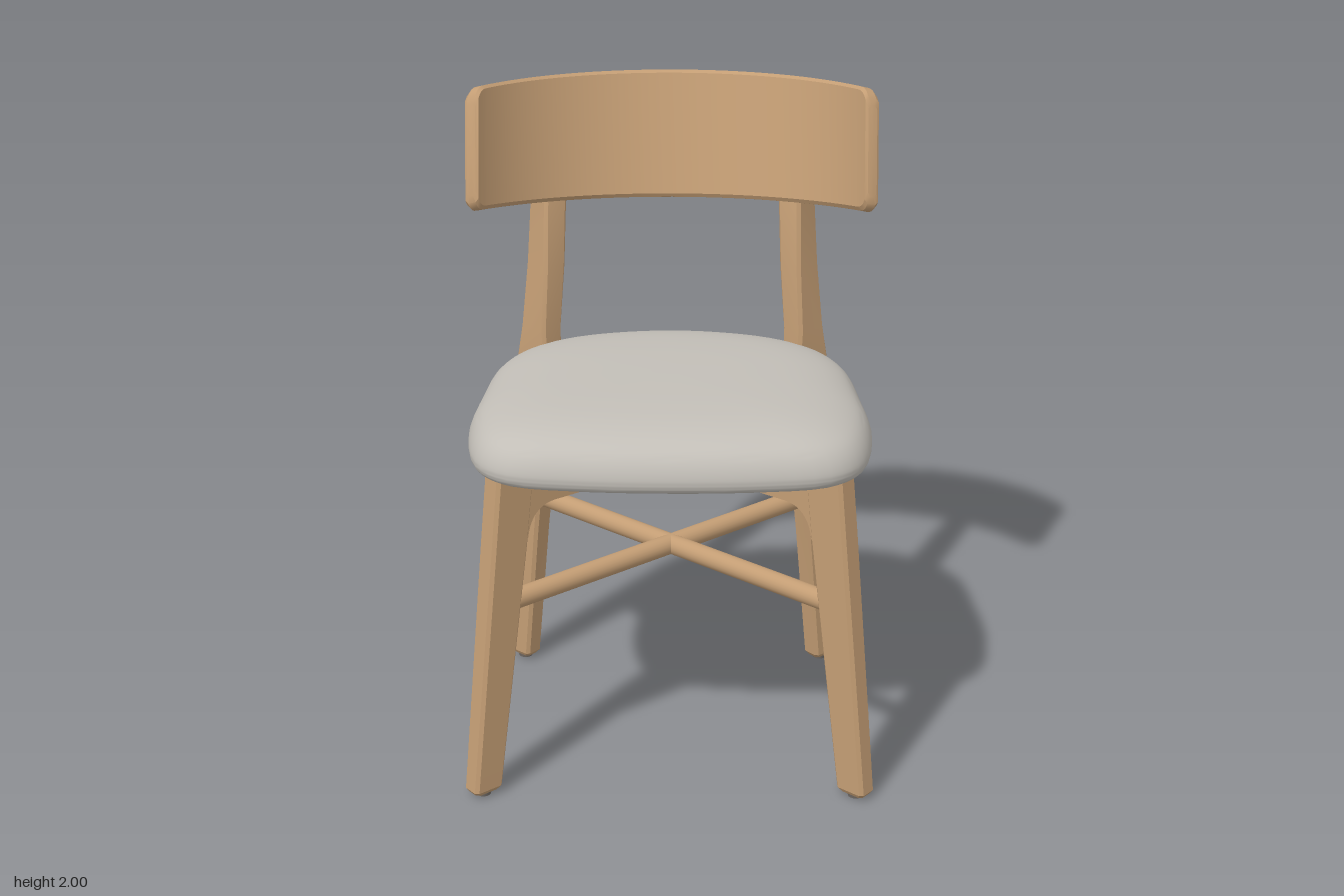
import * as THREE from 'three';
import { mergeVertices, toCreasedNormals } from 'three/addons/utils/BufferGeometryUtils.js';

const V = (x, y, z) => new THREE.Vector3(x, y, z);
const DIAG = 0.705;      // angle of the crossed frames, seen from above
const CROSS_Z = 0.02;    // where the frames cross

const wood = new THREE.MeshStandardMaterial({ color: 0xc39d74 });
wood.name = 'wood';
const fabric = new THREE.MeshStandardMaterial({ color: 0xc2beb7 });
fabric.name = 'greyFabric';
const rubber = new THREE.MeshStandardMaterial({ color: 0x77706a });
rubber.name = 'rubber';

// Skin a list of equal-length rings, close both ends and face it outwards
function loft(rings, crease) {
  const n = rings[0].length;
  const points = rings.flat();
  const faces = [];
  for (let r = 0; r < rings.length - 1; r++) {
    for (let i = 0; i < n; i++) {
      const a = r * n + i, b = r * n + (i + 1) % n;
      faces.push([a, b, b + n], [a, b + n, a + n]);
    }
  }
  [0, rings.length - 1].forEach((r, end) => {
    const mid = V(0, 0, 0);
    rings[r].forEach((p) => mid.addScaledVector(p, 1 / n));
    const c = points.push(mid) - 1;
    for (let i = 0; i < n; i++) {
      const a = r * n + i, b = r * n + (i + 1) % n;
      faces.push(end ? [a, b, c] : [b, a, c]);
    }
  });
  let volume = 0;
  for (const [a, b, c] of faces) volume += points[a].dot(points[b].clone().cross(points[c]));
  const index = faces.flatMap(([a, b, c]) => (volume < 0 ? [a, c, b] : [a, b, c]));
  const geo = new THREE.BufferGeometry().setFromPoints(points);
  geo.setIndex(index);
  return toCreasedNormals(mergeVertices(geo), crease);
}

// Rectangle with cut corners, as [x, y] pairs
function cutRect(w, h, c) {
  const a = w / 2, b = h / 2;
  return [[a, -b + c], [a, b - c], [a - c, b], [-a + c, b],
    [-a, b - c], [-a, -b + c], [-a + c, -b], [a - c, -b]];
}

// Leg section: centre, depth along the angle, thickness across it
function legRing(sx, { x, y, z, angle, depth, thick, cut = 0.01 }) {
  const c = Math.cos(angle), s = Math.sin(angle);
  return cutRect(depth, thick, cut).map(([u, v]) => V(sx * (x + u * c - v * s), y, z + u * s + v * c));
}

// Leg section lying in a diagonal frame, between inner and outer distances
function frameSection(y, inner, outer, thick, front) {
  const u = (inner + outer) / 2;
  return {
    x: u * Math.cos(DIAG), y, z: CROSS_Z + front * u * Math.sin(DIAG),
    angle: front * DIAG, depth: outer - inner, thick,
  };
}

function addMesh(parent, name, geo, mat) {
  const mesh = new THREE.Mesh(geo, mat);
  mesh.name = name;
  parent.add(mesh);
  return mesh;
}

function seatGeometry() {
  // Half outline from front to back, mirrored
  const half = [[0, 0.59], [0.28, 0.577], [0.47, 0.54], [0.555, 0.455], [0.595, 0.25], [0.58, 0.03],
    [0.55, -0.18], [0.48, -0.31], [0.36, -0.4], [0.2, -0.452], [0, -0.475]];
  const other = half.slice(1, -1).reverse().map(([x, z]) => [-x, z]);
  const curve = new THREE.CatmullRomCurve3([...half, ...other].map(([x, z]) => V(x, 0, z)), true);
  const outline = curve.getPoints(72).slice(0, -1);
  // Cushion profile: scale of the outline, height
  const profile = new THREE.CatmullRomCurve3([[0.1, 1.02], [0.9, 1.02], [0.96, 1.023], [0.99, 1.037], [1, 1.06],
    [0.985, 1.095], [0.945, 1.13], [0.87, 1.157], [0.72, 1.18], [0.45, 1.193], [0.1, 1.197]]
    .map(([s, y]) => V(s, y, 0)), false, 'centripetal');
  const rings = profile.getPoints(40).map((p) =>
    outline.map((o) => V(o.x * p.x, p.y, 0.05 + (o.z - 0.05) * p.x)));
  return loft(rings, 1.1);
}

function backrestGeometry() {
  const maxAngle = 1.13, radius = 0.661, corner = 0.045;
  // Columns are denser near the rounded ends
  const positions = [];
  for (let i = 0; i <= 32; i++) positions.push(-0.93 + 1.86 * i / 32);
  for (const e of [0.95, 0.965, 0.98, 0.993, 1]) {
    positions.push(e);
    positions.unshift(-e);
  }
  const rings = positions.map((s) => {
    const a = s * maxAngle, q = s * s;
    const d = Math.min(corner, (1 - Math.abs(s)) * maxAngle * radius);
    const inset = corner - Math.sqrt(corner ** 2 - (corner - d) ** 2);
    const top = 1.963 + 0.037 * q - inset, bottom = 1.587 + 0.065 * q + inset;
    const thick = Math.abs(s) === 1 ? 0.03 : 0.046;
    return cutRect(thick, top - bottom, 0.01).map(([u, v]) => {
      const y = (top + bottom) / 2 + v + u * -0.28;
      const lean = (1.963 + 0.037 * q - y) * 0.32;
      return V(Math.sin(a) * (radius + u), y, 0.089 + lean - Math.cos(a) * (radius + u));
    });
  });
  return loft(rings, 0.5);
}

// Apron beam with fillets running into the legs
function apronGeometry() {
  const s = new THREE.Shape();
  s.moveTo(-0.57, 1.025);
  s.lineTo(0.62, 1.025);
  s.lineTo(0.62, 0.81);
  s.lineTo(0.57, 0.81);
  s.quadraticCurveTo(0.556, 0.905, 0.47, 0.905);
  s.lineTo(0, 0.892);
  s.lineTo(-0.4, 0.905);
  s.quadraticCurveTo(-0.49, 0.905, -0.507, 0.81);
  s.lineTo(-0.57, 0.81);
  const geo = new THREE.ExtrudeGeometry(s, { depth: 0.062, bevelEnabled: false, curveSegments: 10 });
  geo.translate(0, 0, -0.031);
  return toCreasedNormals(geo, 0.5);
}

export function createModel() {
  const model = new THREE.Group();
  model.name = 'chair';

  for (const sx of [1, -1]) {
    const side = sx > 0 ? 'left' : 'right';

    // Front leg
    const front = [
      { ...frameSection(0.012, 0.697, 0.776, 0.05, 1) },
      frameSection(0.025, 0.685, 0.785, 0.066, 1),
      frameSection(0.82, 0.567, 0.697, 0.074, 1),
      frameSection(1.035, 0.54, 0.673, 0.074, 1),
    ];
    addMesh(model, side + 'FrontLeg', loft(front.map((f) => legRing(sx, f)), 0.5), wood);

    // Back leg, bending backwards above the seat to hold the backrest
    const back = [
      frameSection(0.012, 0.614, 0.679, 0.05, -1),
      frameSection(0.025, 0.604, 0.688, 0.066, -1),
      frameSection(0.5, 0.55, 0.664, 0.07, -1),
      frameSection(0.85, 0.502, 0.642, 0.074, -1),
      frameSection(1.03, 0.485, 0.632, 0.076, -1),
      { x: 0.412, y: 1.2, z: -0.34, angle: -0.8, depth: 0.11, thick: 0.08 },
      { x: 0.395, y: 1.4, z: -0.362, angle: -0.9, depth: 0.105, thick: 0.08 },
      { x: 0.386, y: 1.6, z: -0.394, angle: -0.98, depth: 0.1, thick: 0.08 },
      { x: 0.388, y: 1.75, z: -0.426, angle: -1.04, depth: 0.088, thick: 0.08 },
      { x: 0.391, y: 1.865, z: -0.456, angle: -1.05, depth: 0.075, thick: 0.08 },
    ];
    addMesh(model, side + 'BackLeg', loft(back.map((f) => legRing(sx, f)), 0.5), wood);

    // Foot glides
    for (const [name, f] of [['FrontGlide', front[0]], ['BackGlide', back[0]]]) {
      const glide = addMesh(model, side + name, new THREE.CylinderGeometry(0.026, 0.022, 0.014, 16), rubber);
      glide.position.set(sx * f.x, 0.007, f.z);
    }

    // Diagonal frame: apron and round stretcher
    const frame = new THREE.Group();
    frame.name = side + 'DiagonalFrame';
    frame.position.z = CROSS_Z;
    frame.rotation.y = sx > 0 ? -DIAG : DIAG - Math.PI;
    addMesh(frame, 'apron', apronGeometry(), wood);
    const stretcher = addMesh(frame, 'stretcher', new THREE.CylinderGeometry(0.031, 0.031, 1.2, 20), wood);
    stretcher.rotation.z = Math.PI / 2;
    stretcher.position.set(0.03, 0.61, 0);
    model.add(frame);
  }

  addMesh(model, 'seatCushion', seatGeometry(), fabric);
  addMesh(model, 'backrest', backrestGeometry(), wood);
  return model;
}
